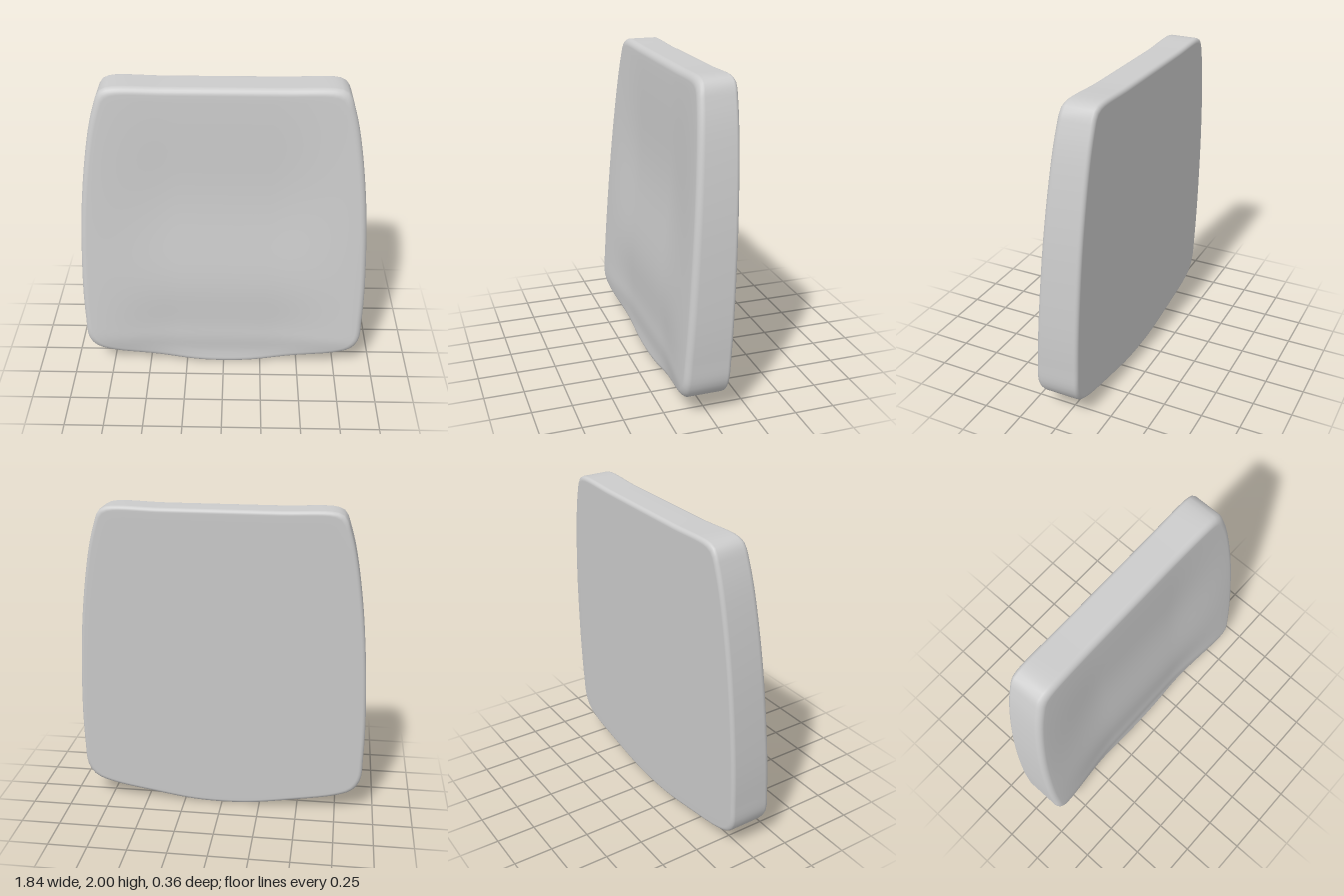
import * as THREE from 'three';
import { mergeVertices } from 'three/addons/utils/BufferGeometryUtils.js';

const smooth = THREE.MathUtils.smoothstep;
const bump = (y, centre, width) => Math.exp(-(((y - centre) / width) ** 2));

// Half outline, from the bottom centre up the side to the flat top
const HALF = [
  [0, 0.003], [0.2, 0.012], [0.45, 0.05], [0.76, 0.11], [0.86, 0.155], [0.908, 0.23],
  [0.92, 0.4], [0.92, 0.7], [0.885, 1.25], [0.82, 1.7], [0.775, 1.88], [0.737, 1.975],
  [0.69, 2], [0.35, 2],
];

// Leaning front face: raised side bolsters, hollow middle, soft lower edge
function frontZ(x, y) {
  const hollow = 0.01 + 0.04 * bump(y, 0.25, 0.3) + 0.035 * bump(y, 1.25, 0.5);
  const middle = 1 - smooth(Math.abs(x), 0.3, 0.9);
  const lowerEdge = 0.03 * (1 - smooth(y, 0.05, 0.25));
  return 0.195 - 0.07 * y - hollow * middle - lowerEdge;
}

// Flat leaning back face
const backZ = (x, y) => -0.1 - 0.04 * y;

function cushionGeometry() {
  const mirrored = HALF.slice(1).reverse().map(([x, y]) => [-x, y]);
  const curve = new THREE.CatmullRomCurve3(
    [...HALF, ...mirrored].map(([x, y]) => new THREE.Vector3(x, y, 0)), true, 'centripetal');
  const N = 180;
  const outline = curve.getSpacedPoints(N).slice(0, N);

  // Rings from the front centre, round the rim, to the back centre
  const rings = [];
  const faceSteps = 24, rimSteps = 6;
  const addFace = (front, radius) => {
    const list = [];
    const rim = 1 - radius / 0.95;
    for (let i = 0; i < faceSteps; i++) list.push({ k: rim * i / faceSteps, drop: 0, front });
    for (let i = 0; i <= rimSteps; i++) {
      const a = (i / rimSteps) * Math.PI / 2;
      list.push({ k: rim + (1 - rim) * Math.sin(a), drop: radius * (1 - Math.cos(a)), front });
    }
    return list;
  };
  rings.push(...addFace(true, 0.04), ...addFace(false, 0.025).reverse());

  const positions = [], index = [];
  for (const { k, drop, front } of rings) {
    for (const p of outline) {
      const x = p.x * k, y = 1 + (p.y - 1) * k;
      positions.push(x, y, front ? frontZ(x, y) - drop : backZ(x, y) + drop);
    }
  }
  for (let i = 0; i < rings.length - 1; i++) {
    for (let j = 0; j < N; j++) {
      const n = (j + 1) % N;
      const a = i * N + j, b = (i + 1) * N + j, c = (i + 1) * N + n, d = i * N + n;
      if (i < rings.length - 2) index.push(a, b, c);
      if (i > 0) index.push(a, c, d);
      if (i === rings.length - 2) index.push(a, b, d);
    }
  }
  let geometry = new THREE.BufferGeometry();
  geometry.setAttribute('position', new THREE.Float32BufferAttribute(positions, 3));
  geometry.setIndex(index);
  geometry = mergeVertices(geometry, 1e-5);
  geometry.computeVertexNormals();
  return geometry;
}

export function createModel() {
  const group = new THREE.Group();
  group.name = 'backrest';
  const cushion = new THREE.Mesh(
    cushionGeometry(), new THREE.MeshStandardMaterial({ color: 0xcccccc }));
  cushion.name = 'backCushion';
  group.add(cushion);
  return group;
}
